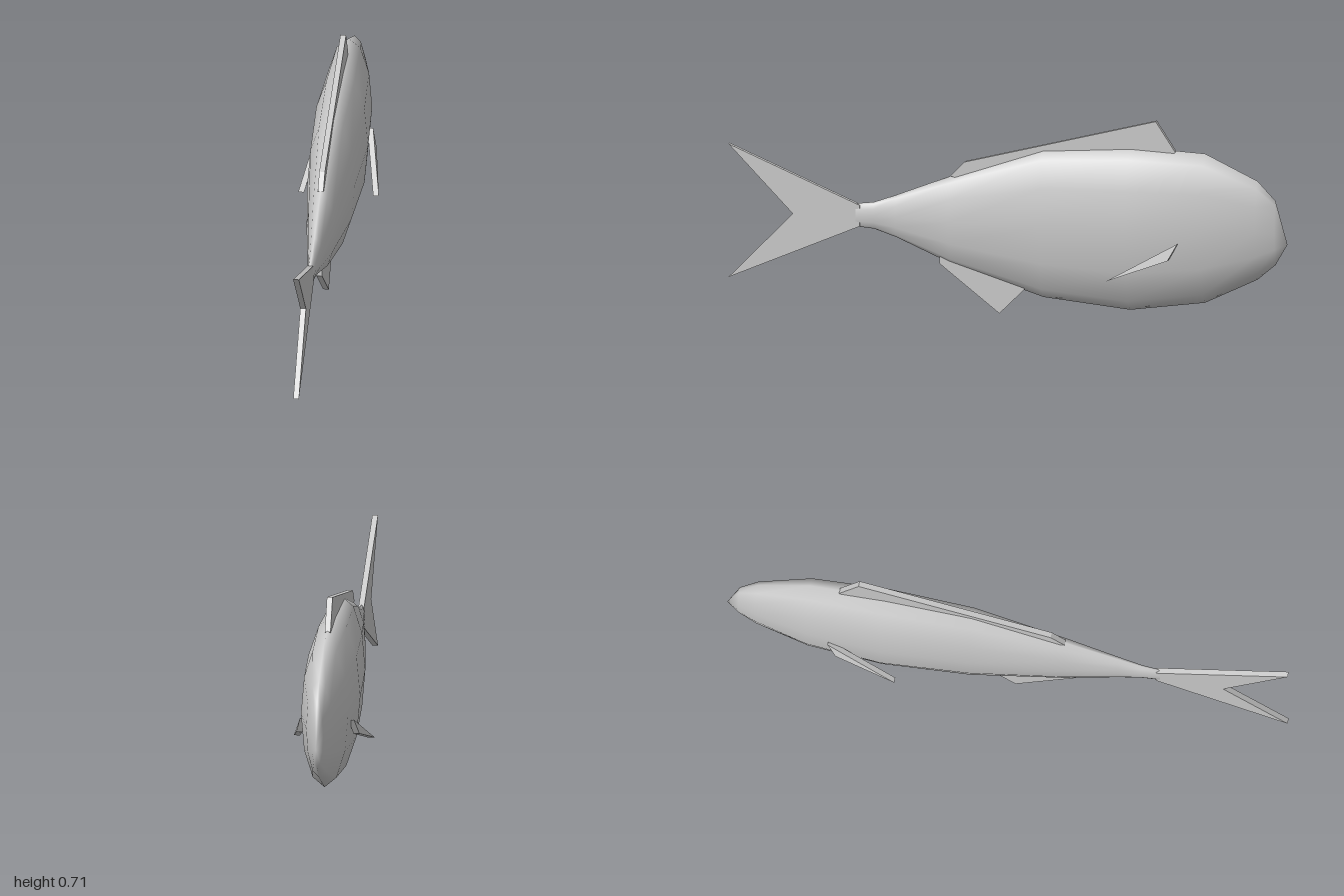
import * as THREE from 'three';

const SIDES = 12;

// Body cross-sections, head to tail: z, bottom y, top y, half width
const SECTIONS = [
  [-0.957, 0.215, 0.445, 0.022],
  [-0.893, 0.16, 0.513, 0.045],
  [-0.705, 0.069, 0.603, 0.083],
  [-0.437, 0.032, 0.617, 0.098],
  [-0.126, 0.064, 0.597, 0.083],
  [0.206, 0.17, 0.483, 0.049],
  [0.4, 0.255, 0.407, 0.025],
  [0.48, 0.282, 0.378, 0.016],
  [0.545, 0.288, 0.37, 0.012],
];

// Smooth loft of twelve-sided ellipses, closed by a point at each end
function loftBody() {
  const pos = [];
  const index = [];
  for (const [z, low, high, w] of SECTIONS) {
    for (let j = 0; j < SIDES; j++) {
      const a = (j / SIDES) * Math.PI * 2;
      pos.push(w * Math.cos(a), (low + high) / 2 + ((high - low) / 2) * Math.sin(a), z);
    }
  }
  const nose = SECTIONS.length * SIDES;
  const end = nose + 1;
  pos.push(0, 0.29, -1, 0, 0.329, 0.55);
  const last = (SECTIONS.length - 1) * SIDES;
  for (let j = 0; j < SIDES; j++) {
    const k = (j + 1) % SIDES;
    index.push(nose, k, j, end, last + j, last + k);
    for (let r = 0; r < last; r += SIDES) {
      index.push(r + j, r + k, r + SIDES + j);
      index.push(r + k, r + SIDES + k, r + SIDES + j);
    }
  }
  const geo = new THREE.BufferGeometry();
  geo.setAttribute('position', new THREE.Float32BufferAttribute(pos, 3));
  geo.setIndex(index);
  geo.computeVertexNormals();
  return geo;
}

// Flat fin on the centre plane from [z, y] corners
function flatFin(corners) {
  const shape = new THREE.Shape(corners.map(([z, y]) => new THREE.Vector2(-z, y)));
  const geo = new THREE.ExtrudeGeometry(shape, { depth: 0.02, bevelEnabled: false });
  return geo.translate(0, 0, -0.01).rotateY(Math.PI / 2);
}

// Three-cornered side fin, 0.02 thick across x; side is +1 or -1
function sideFin(side) {
  const outer = [[0.095, 0.295, -0.625], [0.142, 0.16, -0.378], [0.111, 0.236, -0.593]];
  const p = [...outer, ...outer.map(([x, y, z]) => [x - 0.02, y - 0.002, z])];
  const faces = [[0, 1, 2], [3, 5, 4], [0, 3, 4], [0, 4, 1], [1, 4, 5], [1, 5, 2], [2, 5, 3], [2, 3, 0]];
  const pos = [];
  for (const f of faces) {
    const order = side > 0 ? f : [f[0], f[2], f[1]];
    for (const i of order) pos.push(side * p[i][0], p[i][1], p[i][2]);
  }
  const geo = new THREE.BufferGeometry();
  geo.setAttribute('position', new THREE.Float32BufferAttribute(pos, 3));
  geo.computeVertexNormals();
  return geo;
}

export function createModel() {
  const grey = new THREE.MeshStandardMaterial({ color: 0xcccccc, side: THREE.DoubleSide });
  grey.name = 'paleGrey';
  const fish = new THREE.Group();
  fish.name = 'fish';
  const add = (name, geo) => {
    const mesh = new THREE.Mesh(geo, grey);
    mesh.name = name;
    fish.add(mesh);
  };

  add('body', loftBody());

  // Fins on the centre line, with their roots sunk into the body
  add('tailFin', flatFin([[0.53, 0.365], [1, 0.565], [0.77, 0.325], [1, 0.088], [0.53, 0.29]]));
  add('dorsalFin', flatFin([[-0.6, 0.605], [-0.53, 0.712], [0.155, 0.537], [0.205, 0.485], [0.1, 0.45], [-0.5, 0.5]]));
  add('analFin', flatFin([[-0.06, 0.09], [0.03, 0], [0.245, 0.17], [0.245, 0.21], [0, 0.2]]));

  // Paired side fins
  add('leftSideFin', sideFin(1));
  add('rightSideFin', sideFin(-1));

  return fish;
}
